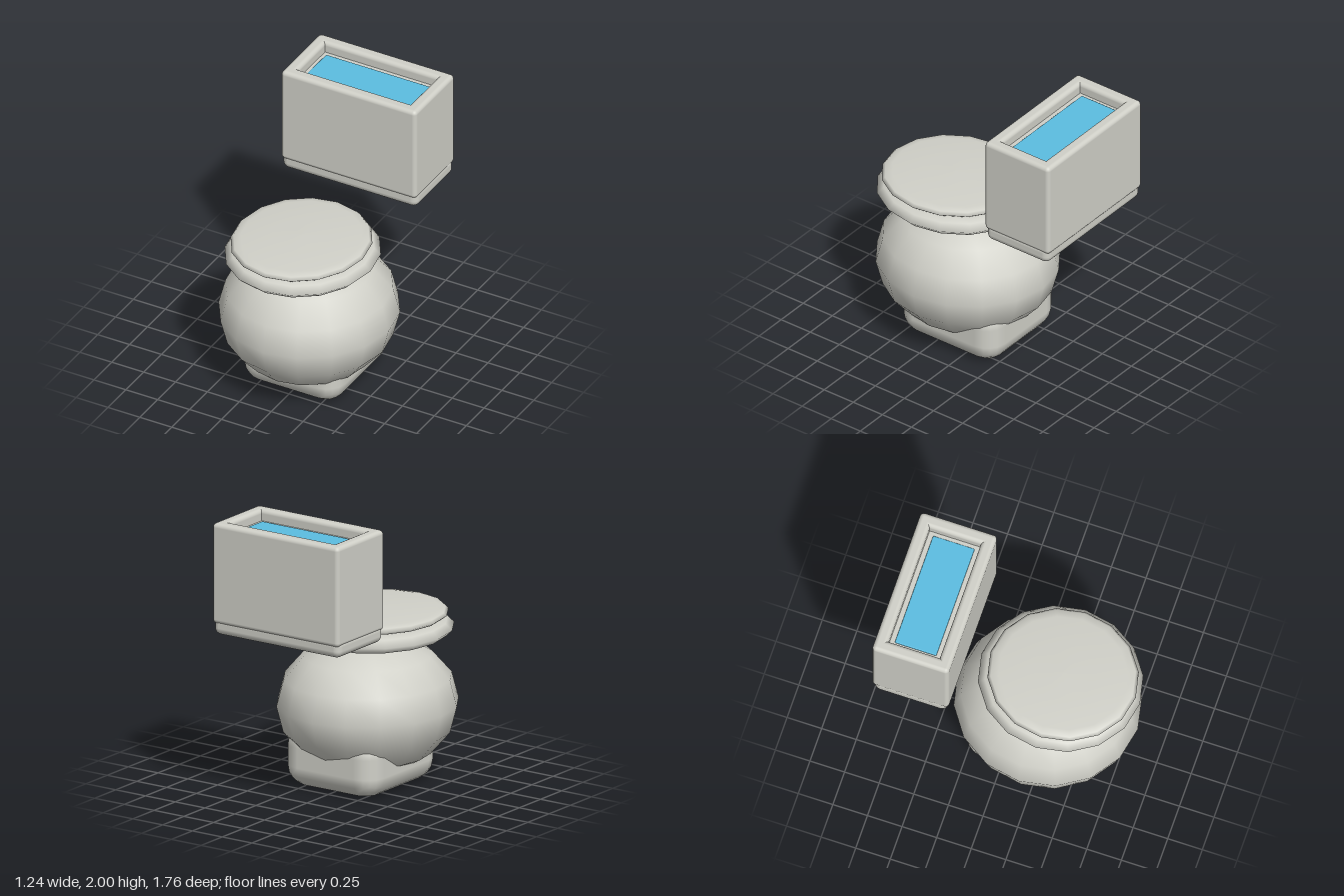
import * as THREE from 'three';
import { RoundedBoxGeometry } from 'three/addons/geometries/RoundedBoxGeometry.js';

const ceramic = new THREE.MeshStandardMaterial({ color: 0xd0d0c8 });
ceramic.name = 'ceramic grey';
const waterBlue = new THREE.MeshStandardMaterial({ color: 0x5bbde1 });
waterBlue.name = 'water blue';

export function createModel() {
  const root = new THREE.Group();
  root.name = 'toilet';

  const add = (parent, name, geometry, x, y, z, material = ceramic) => {
    const mesh = new THREE.Mesh(geometry, material);
    mesh.name = name;
    mesh.position.set(x, y, z);
    parent.add(mesh);
    return mesh;
  };

  // Foot: softly bevelled block sunk into the bowl
  add(root, 'base', new RoundedBoxGeometry(0.78, 0.45, 0.835, 2, 0.155), 0, 0.225, 0.132);

  // Bowl: squashed low-poly sphere with smooth normals
  add(root, 'bowl', new THREE.SphereGeometry(1, 16, 8), 0, 0.55, 0.215).scale.set(0.62, 0.485, 0.65);

  // Seat and lid: sixteen-sided oval discs with rounded rims
  const disc = (name, profile, z, depth) => {
    const points = profile.map(([r, y]) => new THREE.Vector2(r, y));
    add(root, name, new THREE.LatheGeometry(points, 16), 0, 0, z).scale.z = depth;
  };
  disc('seat', [
    [0, 0.975], [0.2, 0.98], [0.4, 0.995], [0.485, 1.022], [0.53, 1.067],
    [0.485, 1.113], [0.41, 1.13], [0, 1.135],
  ], 0.307, 1.08);
  disc('lid', [
    [0, 1.125], [0.4, 1.13], [0.455, 1.143], [0.48, 1.163],
    [0.46, 1.184], [0.41, 1.195], [0.2, 1.207], [0, 1.21],
  ], 0.325, 1.093);

  // Tank: floor slab, four rounded walls, inner ledge and water
  const tank = new THREE.Group();
  tank.name = 'tank';
  tank.position.z = -0.603;
  root.add(tank);
  const wallHeight = 0.715, wall = 0.092;
  const wallY = 2 - wallHeight / 2;
  add(tank, 'tankFloor', new RoundedBoxGeometry(1.06, 0.13, 0.535, 3, 0.05), 0, 1.267, 0);
  for (const side of [-1, 1]) {
    add(tank, side > 0 ? 'frontWall' : 'backWall',
      new RoundedBoxGeometry(1.06, wallHeight, wall, 3, 0.03), 0, wallY, side * (0.277 - wall / 2));
    add(tank, side > 0 ? 'leftWall' : 'rightWall',
      new RoundedBoxGeometry(wall, wallHeight, 0.554, 3, 0.03), side * (0.53 - wall / 2), wallY, 0);
  }
  add(tank, 'innerLedge', new THREE.BoxGeometry(0.92, 0.6, 0.42), 0, 1.62, 0);
  add(tank, 'water', new RoundedBoxGeometry(0.82, 0.02, 0.3, 2, 0.008), 0, 1.921, 0, waterBlue);

  return root;
}
